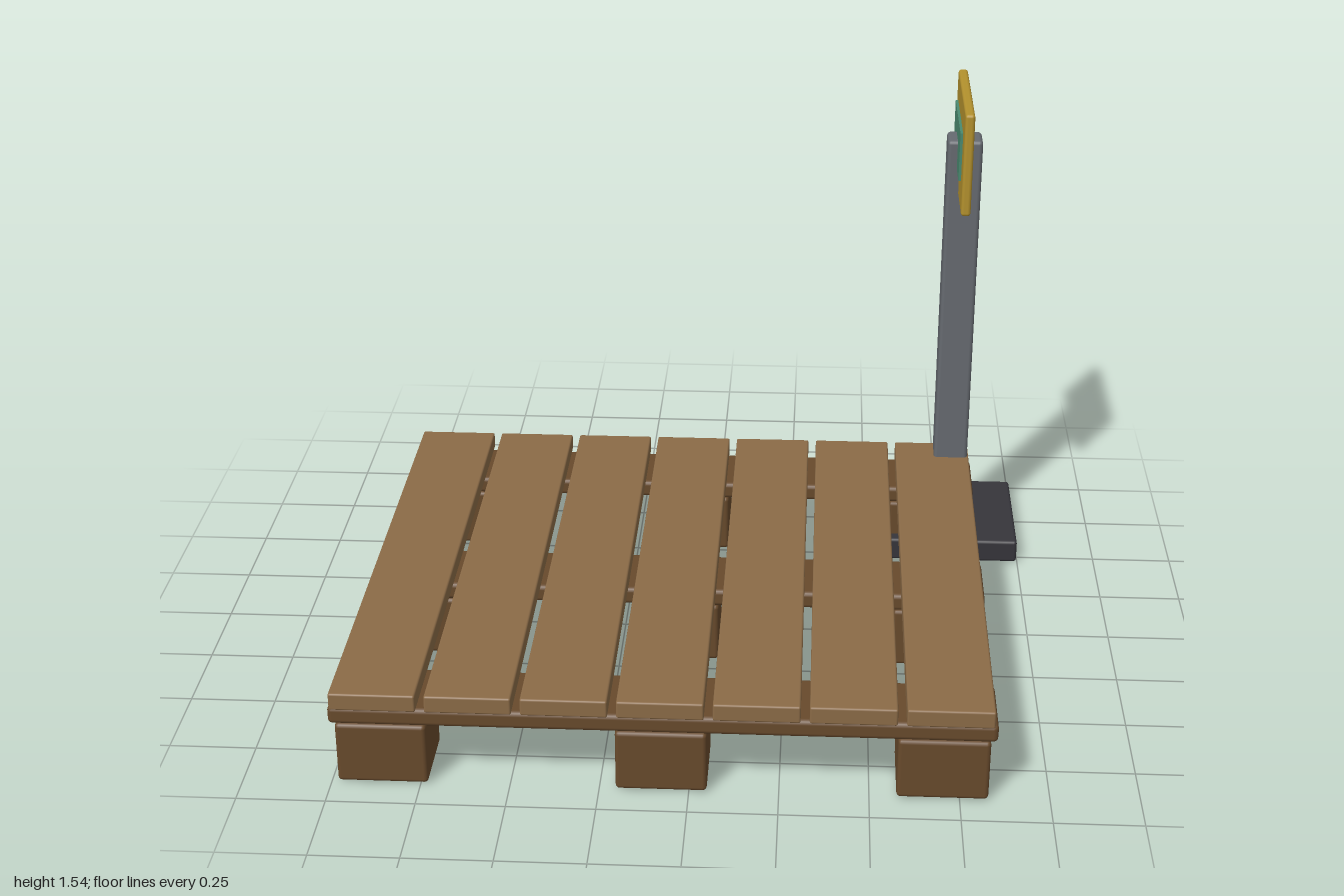
import * as THREE from 'three';
import { RoundedBoxGeometry } from 'three/addons/geometries/RoundedBoxGeometry.js';

const material = (name, color) => {
  const m = new THREE.MeshStandardMaterial({ color });
  m.name = name;
  return m;
};

export function createModel() {
  const lightWood = material('light wood', 0x8b6b47);
  const darkWood = material('dark wood', 0x684a2c);
  const steel = material('grey steel', 0x666a70);
  const rubber = material('dark base', 0x36353b);
  const yellow = material('yellow panel', 0xb3912d);
  const teal = material('teal screen', 0x4a8a70);

  const root = new THREE.Group();
  root.name = 'palletWithSignPost';
  const pallet = new THREE.Group();
  pallet.name = 'pallet';
  const signPost = new THREE.Group();
  signPost.name = 'signPost';
  root.add(pallet, signPost);

  // Softly bevelled box given by its extents on each axis
  const box = (parent, name, mat, [x0, x1], [y0, y1], [z0, z1], bevel) => {
    const size = [x1 - x0, y1 - y0, z1 - z0];
    const geometry = bevel
      ? new RoundedBoxGeometry(...size, 2, bevel)
      : new THREE.BoxGeometry(...size);
    const mesh = new THREE.Mesh(geometry, mat);
    mesh.name = name;
    mesh.position.set((x0 + x1) / 2, (y0 + y1) / 2, (z0 + z1) / 2);
    parent.add(mesh);
  };

  // Seven deck boards running front to back
  for (let i = 0; i < 7; i++) {
    const x = -0.871 + i * 0.2645;
    box(pallet, 'deckBoard', lightWood, [x - 0.12, x + 0.12], [0.244, 0.296], [-0.742, 0.92], 0.006);
  }

  // Three cross boards, each on three blocks
  for (const z of [-0.614, 0.093, 0.797]) {
    box(pallet, 'crossBoard', darkWood, [-1, 0.847], [0.19, 0.244], [z - 0.11, z + 0.11], 0.014);
    for (const x of [-0.855, -0.077, 0.702]) {
      box(pallet, 'block', darkWood, [x - 0.127, x + 0.127], [0.004, 0.19], [z - 0.11, z + 0.11], 0.012);
    }
  }

  // Floor plate and square post at the back corner
  box(signPost, 'basePlate', rubber, [0.556, 0.997], [0, 0.075], [-0.908, -0.466], 0.01);
  box(signPost, 'post', steel, [0.722, 0.831], [0.06, 1.39], [-0.74, -0.634], 0.012);

  // Display panel set through the post head, screen facing the pallet
  box(signPost, 'signPanel', yellow, [0.76, 0.79], [1.21, 1.536], [-0.925, -0.448], 0.01);
  box(signPost, 'screen', teal, [0.752, 0.761], [1.3, 1.452], [-0.86, -0.525], 0);

  return root;
}
